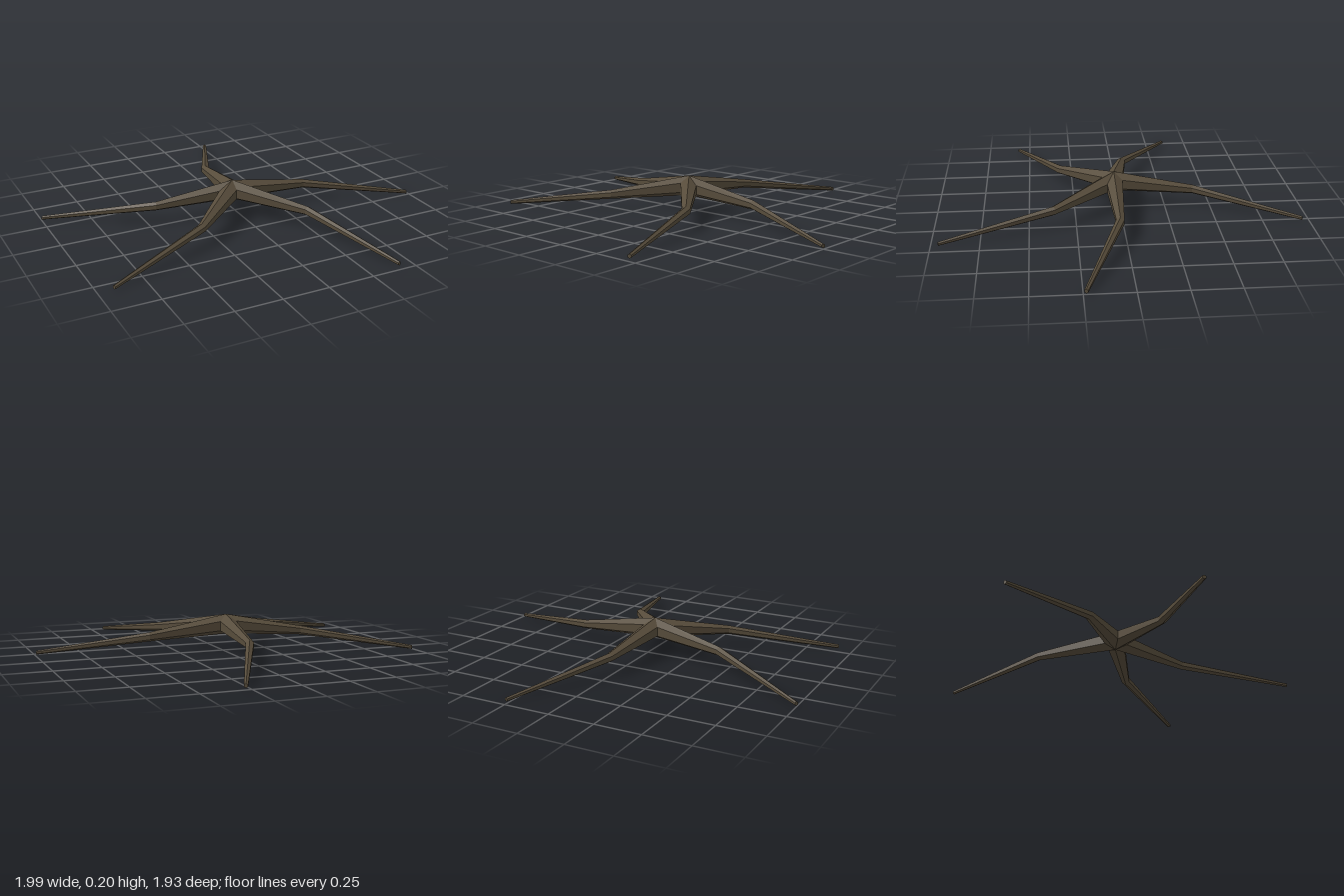
import * as THREE from 'three';

const SIDES = 6;
const UP = new THREE.Vector3(0, 1, 0);
const HUB = [-0.03, 0.145, 0.03];
const RADII = [0.055, 0.025, 0.011];

// knee and tip of each arm
const ARMS = {
  backArm: [[0.01, 0.097, -0.405], [0.265, 0.014, -0.965]],
  leftArm: [[0.415, 0.097, 0.03], [0.99, 0.014, 0.235]],
  frontLeftArm: [[0.247, 0.097, 0.37], [0.427, 0.014, 0.962]],
  frontRightArm: [[-0.345, 0.097, 0.317], [-0.915, 0.014, 0.563]],
  rightArm: [[-0.45, 0.097, -0.047], [-0.995, 0.014, -0.353]],
};

// lofts upright hexagons along a path, mitred at the bends and closed at both ends
function loft(points, radii) {
  const path = points.map((p) => new THREE.Vector3(...p));
  const rings = path.map((c, i) => {
    const dir = new THREE.Vector3();
    if (i > 0) dir.add(c.clone().sub(path[i - 1]).normalize());
    if (i < path.length - 1) dir.add(path[i + 1].clone().sub(c).normalize());
    const side = UP.clone().cross(dir).normalize();
    return Array.from({ length: SIDES }, (_, j) => {
      const a = (j / SIDES) * Math.PI * 2;
      return c.clone()
        .addScaledVector(side, Math.sin(a) * radii[i])
        .addScaledVector(UP, Math.cos(a) * radii[i]);
    });
  });

  const tris = [];
  const last = rings.length - 1;
  for (let j = 0; j < SIDES; j++) {
    const k = (j + 1) % SIDES;
    for (let i = 0; i < last; i++) {
      const [p, q] = [rings[i], rings[i + 1]];
      tris.push(p[j], q[j], p[k], p[k], q[j], q[k]);
    }
    tris.push(path[0], rings[0][j], rings[0][k]);
    tris.push(path[last], rings[last][k], rings[last][j]);
  }
  const geometry = new THREE.BufferGeometry().setFromPoints(tris);
  geometry.computeVertexNormals();
  return geometry;
}

export function createModel() {
  const model = new THREE.Group();
  model.name = 'fiveArmedStar';
  const material = new THREE.MeshStandardMaterial({ color: 0x574c3b, flatShading: true });

  // five bent, tapering arms meeting at the hub
  for (const [name, [knee, tip]] of Object.entries(ARMS)) {
    const arm = new THREE.Mesh(loft([HUB, knee, tip], RADII), material);
    arm.name = name;
    model.add(arm);
  }
  return model;
}
